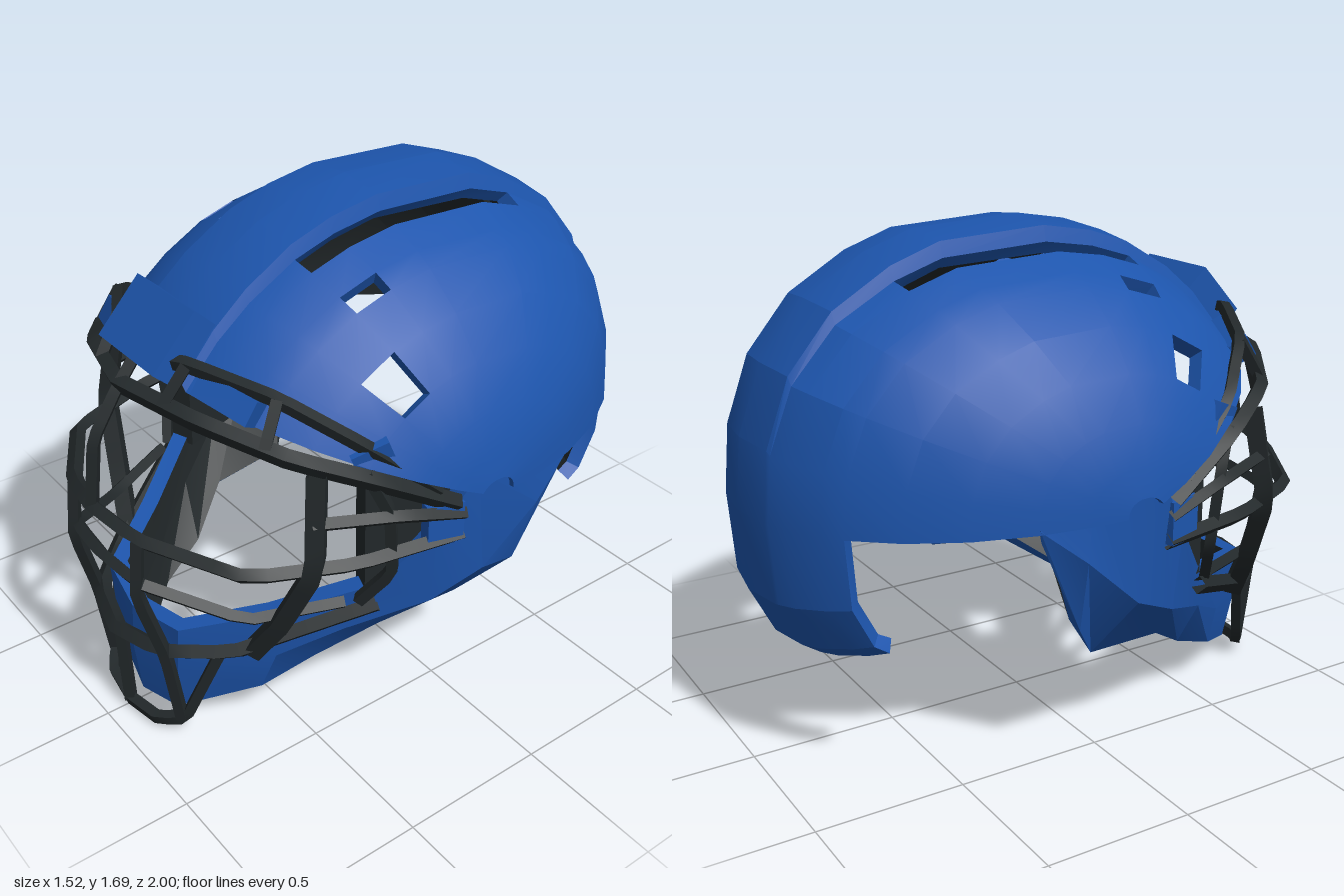
import * as THREE from 'three';
import { toCreasedNormals } from 'three/addons/utils/BufferGeometryUtils.js';

const blue = new THREE.MeshStandardMaterial({ color: 0x1d55ad });
const dark = new THREE.MeshStandardMaterial({ color: 0x22282a });
const barMaterial = new THREE.MeshStandardMaterial({ color: 0x22282a, side: THREE.DoubleSide });

function addMesh(parent, name, geometry, material) {
  const mesh = new THREE.Mesh(geometry, material);
  mesh.name = name;
  parent.add(mesh);
  return mesh;
}

function fromPoints(points) {
  const g = new THREE.BufferGeometry().setFromPoints(points);
  g.computeVertexNormals();
  return toCreasedNormals(g, 0.3);
}

// Thick shell from a grid of points; cells for which keep(i, j) is false stay open
function shell(parent, name, grid, thickness, keep) {
  const rows = grid.length, cols = grid[0].length;
  const has = (i, j) => i >= 0 && j >= 0 && i < rows - 1 && j < cols - 1 && keep(i, j);
  const index = [];
  for (let i = 0; i < rows - 1; i++) for (let j = 0; j < cols - 1; j++) {
    const a = i * cols + j, c = a + cols;
    index.push(a, a + 1, c, a + 1, c + 1, c);
  }
  const P = grid.flat();
  const base = new THREE.BufferGeometry().setFromPoints(P);
  base.setIndex(index);
  base.computeVertexNormals();
  const normals = base.getAttribute('normal');
  const Q = P.map((p, k) => p.clone().addScaledVector(new THREE.Vector3().fromBufferAttribute(normals, k), -thickness));

  const outer = [], inner = [];
  for (let i = 0; i < rows - 1; i++) for (let j = 0; j < cols - 1; j++) {
    if (!has(i, j)) continue;
    const a = i * cols + j, b = a + 1, c = a + cols, d = c + 1;
    outer.push(P[a], P[b], P[c], P[b], P[d], P[c]);
    inner.push(Q[a], Q[c], Q[b], Q[b], Q[c], Q[d]);
    // Rim walls along open edges
    const edges = [[a, b, i - 1, j], [b, d, i, j + 1], [d, c, i + 1, j], [c, a, i, j - 1]];
    for (const [p, q, ni, nj] of edges) {
      if (!has(ni, nj)) outer.push(P[q], P[p], Q[p], P[q], Q[p], Q[q]);
    }
  }
  addMesh(parent, name, fromPoints(outer), blue);
  addMesh(parent, name + 'Lining', fromPoints(inner), dark);
}

// Square-section bar running straight between its points
function bar(parent, name, points, r = 0.024) {
  const path = new THREE.CurvePath();
  const v = points.map(p => new THREE.Vector3(...p));
  for (let i = 0; i < v.length - 1; i++) path.add(new THREE.LineCurve3(v[i], v[i + 1]));
  const g = new THREE.TubeGeometry(path, (v.length - 1) * 4, r, 4, false);
  addMesh(parent, name, toCreasedNormals(g, 0.5), barMaterial);
}

const flip = pts => pts.map(([x, y, z]) => [-x, y, z]);
// Full arch from a half path that ends on the centre line
const arch = half => [...half, ...flip(half.slice(0, -1)).reverse()];

function box(parent, name, size, pos, rot, material) {
  const m = addMesh(parent, name, new THREE.BoxGeometry(...size), material);
  m.position.set(...pos);
  m.rotation.set(...rot);
}

export function createModel() {
  const model = new THREE.Group();
  model.name = 'helmet';

  // Dome: the centre profile (z, height over the ears), shrunk towards each side
  const profile = [[0.74, 0.38], [0.62, 0.52], [0.5, 0.62], [0.33, 0.72], [0.18, 0.77], [0, 0.8], [-0.38, 0.78],
    [-0.55, 0.72], [-0.75, 0.6], [-0.9, 0.42], [-0.98, 0.2], [-1, -0.03], [-0.98, -0.3], [-0.9, -0.46], [-0.84, -0.5]];
  const half = [0.165, 0.18, 0.25, 0.36, 0.42, 0.54, 0.64, 0.71, 0.745, 0.758];
  const xs = [...half.map(x => -x).reverse(), 0, ...half];
  const dome = profile.map(([z, h]) => xs.map(x => {
    const s = Math.sqrt(1 - (x / 0.76) ** 2);
    const drop = Math.abs(x) > 0.17 && h > 0 ? 0.94 : 1; // raised centre ridge
    return new THREE.Vector3(x, 0.9 + h * s * drop, z * s);
  }));
  shell(model, 'dome', dome, 0.05, (i, j) => {
    const x = Math.abs(xs[j] + xs[j + 1]) / 2;
    if (i >= 11) return x < 0.42;                             // neck skirt
    if (i >= 3 && i <= 6 && x > 0.18 && x < 0.25) return false; // long top slots
    if (i === 3 && x > 0.36 && x < 0.42) return false;        // small vents
    return !(i === 2 && x > 0.54 && x < 0.64);                // side windows
  });

  // Jaw guard: top, middle and bottom of each section from ear to chin
  const jawHalf = [
    [[0.705, 0.95, -0.35], [0.712, 0.9, -0.35], [0.7, 0.86, -0.34]],
    [[0.735, 1.02, -0.18], [0.74, 0.78, -0.2], [0.67, 0.53, -0.18]],
    [[0.745, 1.0, 0.06], [0.72, 0.6, 0], [0.54, 0.37, -0.05]],
    [[0.7, 0.8, 0.18], [0.67, 0.52, 0.17], [0.5, 0.35, 0.24]],
    [[0.58, 0.6, 0.34], [0.52, 0.42, 0.4], [0.39, 0.23, 0.42]],
    [[0.39, 0.49, 0.6], [0.4, 0.32, 0.58], [0.34, 0.16, 0.6]],
    [[0.22, 0.43, 0.83], [0.2, 0.25, 0.83], [0.16, 0.06, 0.82]],
    [[0, 0.41, 0.87], [0, 0.24, 0.88], [0, 0.05, 0.86]],
  ];
  const jawSections = [...jawHalf, ...jawHalf.slice(0, -1).reverse().map(flip)];
  const jaw = [0, 1, 2].map(r => jawSections.map(s => new THREE.Vector3(...s[r])));
  shell(model, 'jawGuard', jaw, 0.06, () => true);

  // Brow block in the middle of the forehead
  box(model, 'browBlock', [0.32, 0.22, 0.1], [0, 1.37, 0.7], [-0.75, 0, 0], blue);

  // Face cage: bars that cross the centre line
  const cage = new THREE.Group();
  cage.name = 'faceCage';
  model.add(cage);
  bar(cage, 'upperBar', arch([[0.72, 0.9, 0.12], [0.65, 1.06, 0.4], [0.54, 1.15, 0.6], [0.3, 1.22, 0.76], [0, 1.24, 0.84]]), 0.03);
  bar(cage, 'browBar', arch([[0.7, 0.96, 0.18], [0.62, 1.16, 0.4], [0.45, 1.3, 0.58], [0.2, 1.35, 0.72], [0, 1.31, 0.78]]));
  bar(cage, 'eyeBar', arch([[0.72, 0.78, 0.1], [0.65, 0.78, 0.45], [0.52, 0.79, 0.75], [0.2, 0.82, 0.93], [0, 0.85, 0.97]]), 0.027);
  bar(cage, 'noseBar', arch([[0.55, 0.56, 0.42], [0.42, 0.54, 0.7], [0.2, 0.66, 0.94], [0, 0.67, 0.96]]));
  bar(cage, 'mouthBar', arch([[0.6, 0.54, 0.33], [0.36, 0.38, 0.72], [0.2, 0.36, 0.88], [0, 0.35, 0.93]]), 0.03);
  bar(cage, 'chinBar', arch([[0.32, 0.36, 0.74], [0.23, 0.07, 0.83], [0.15, 0.04, 0.89], [0, 0.03, 0.91]]));
  bar(cage, 'centreBar', [[0, 1.31, 0.78], [0, 1.22, 0.85], [0, 1.08, 0.94], [0, 0.85, 0.97]]);
  bar(cage, 'chinCentreBar', [[0, 0.35, 0.92], [0, 0.03, 0.91]]);

  // Mirrored bars, pads and clips
  for (const side of [1, -1]) {
    const m = pts => pts.map(([x, y, z]) => [x * side, y, z]);
    bar(cage, 'frontUpright', m([[0.2, 0.82, 0.93], [0.2, 0.62, 0.95], [0.22, 0.36, 0.88], [0.22, 0.07, 0.84]]));
    bar(cage, 'sideUpright', m([[0.58, 1.1, 0.54], [0.62, 0.8, 0.58], [0.5, 0.55, 0.62], [0.39, 0.38, 0.66]]), 0.04);
    bar(cage, 'cheekBar', m([[0.63, 1.08, 0.4], [0.67, 0.93, 0.34], [0.66, 0.7, 0.32], [0.57, 0.56, 0.38]]));
    bar(cage, 'templeBar', m([[0.6, 0.95, 0.58], [0.69, 0.92, 0.32], [0.73, 0.86, 0.1]]));
    bar(cage, 'browStrut', m([[0.2, 1.35, 0.72], [0.18, 1.23, 0.8]]));
    bar(cage, 'outerBrowStrut', m([[0.45, 1.3, 0.58], [0.48, 1.17, 0.65]]));
    box(model, 'cheekPad', [0.09, 0.42, 0.3], [0.58 * side, 0.78, 0.2], [0, -0.35 * side, 0], dark);
    box(model, 'browClip', [0.2, 0.08, 0.07], [0.32 * side, 1.27, 0.66], [-0.6, 0.4 * side, 0], blue);
    box(model, 'earClip', [0.05, 0.14, 0.12], [0.7 * side, 0.84, 0.16], [0, -0.25 * side, 0], blue);
    box(model, 'templeClip', [0.06, 0.12, 0.12], [0.61 * side, 1.1, 0.36], [0.4, -0.4 * side, 0], blue);
  }
  return model;
}
